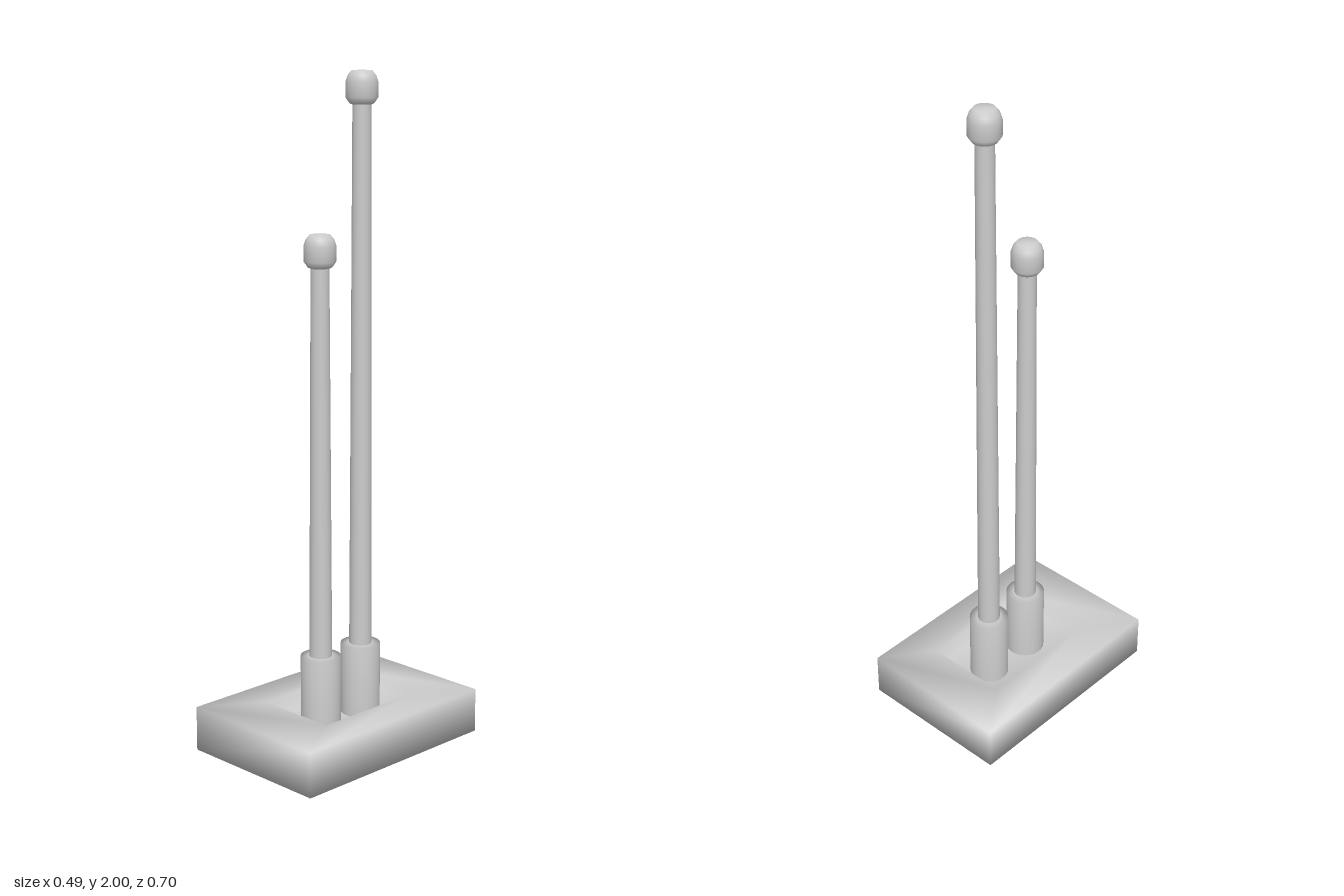
import * as THREE from 'three';

const material = new THREE.MeshStandardMaterial({ color: 0xcccccc });

function part(name, geometry) {
  const mesh = new THREE.Mesh(geometry, material);
  mesh.name = name;
  return mesh;
}

function lathe(profile) {
  return new THREE.LatheGeometry(profile.map(([r, y]) => new THREE.Vector2(r, y)), 32);
}

const FLOOR = 0.07; // floor of the recess in the base

// Block with a rectangular recess, skinned through four-cornered rings with shared smooth normals
function baseGeometry() {
  // half width, back z, front z, height
  const rings = [
    [0.245, -0.352, 0.352, 0],
    [0.245, -0.352, 0.352, 0.135],
    [0.131, -0.2, 0.178, 0.135],
    [0.131, -0.2, 0.178, FLOOR],
  ];
  const positions = [];
  for (const [w, back, front, y] of rings) {
    positions.push(-w, y, front, w, y, front, w, y, back, -w, y, back);
  }
  const index = [];
  for (let r = 0; r < rings.length - 1; r++) {
    for (let i = 0; i < 4; i++) {
      const a = r * 4 + i, b = r * 4 + (i + 1) % 4;
      index.push(a, b, b + 4, a, b + 4, a + 4);
    }
  }
  index.push(0, 2, 1, 0, 3, 2); // underside
  index.push(12, 13, 14, 12, 14, 15); // recess floor
  const geometry = new THREE.BufferGeometry();
  geometry.setAttribute('position', new THREE.Float32BufferAttribute(positions, 3));
  geometry.setIndex(index);
  geometry.computeVertexNormals();
  return geometry;
}

// Collar, slightly tapered rod and rounded cap
function createPost(name, z, top) {
  const post = new THREE.Group();
  post.name = name;
  post.position.z = z;
  post.add(
    part('collar', lathe([[0.06, FLOOR], [0.06, 0.29], [0.034, 0.29]])),
    part('rod', lathe([[0.034, 0.29], [0.027, top - 0.095]])),
    part('cap', lathe([
      [0.027, top - 0.098], [0.035, top - 0.095], [0.047, top - 0.078],
      [0.047, top - 0.034], [0.041, top - 0.016], [0.03, top - 0.002], [0, top],
    ])),
  );
  return post;
}

export function createModel() {
  const model = new THREE.Group();
  model.name = 'twinPostStand';
  model.add(
    part('base', baseGeometry()),
    createPost('shortPost', 0.072, 1.545),
    createPost('tallPost', -0.096, 2),
  );
  return model;
}
